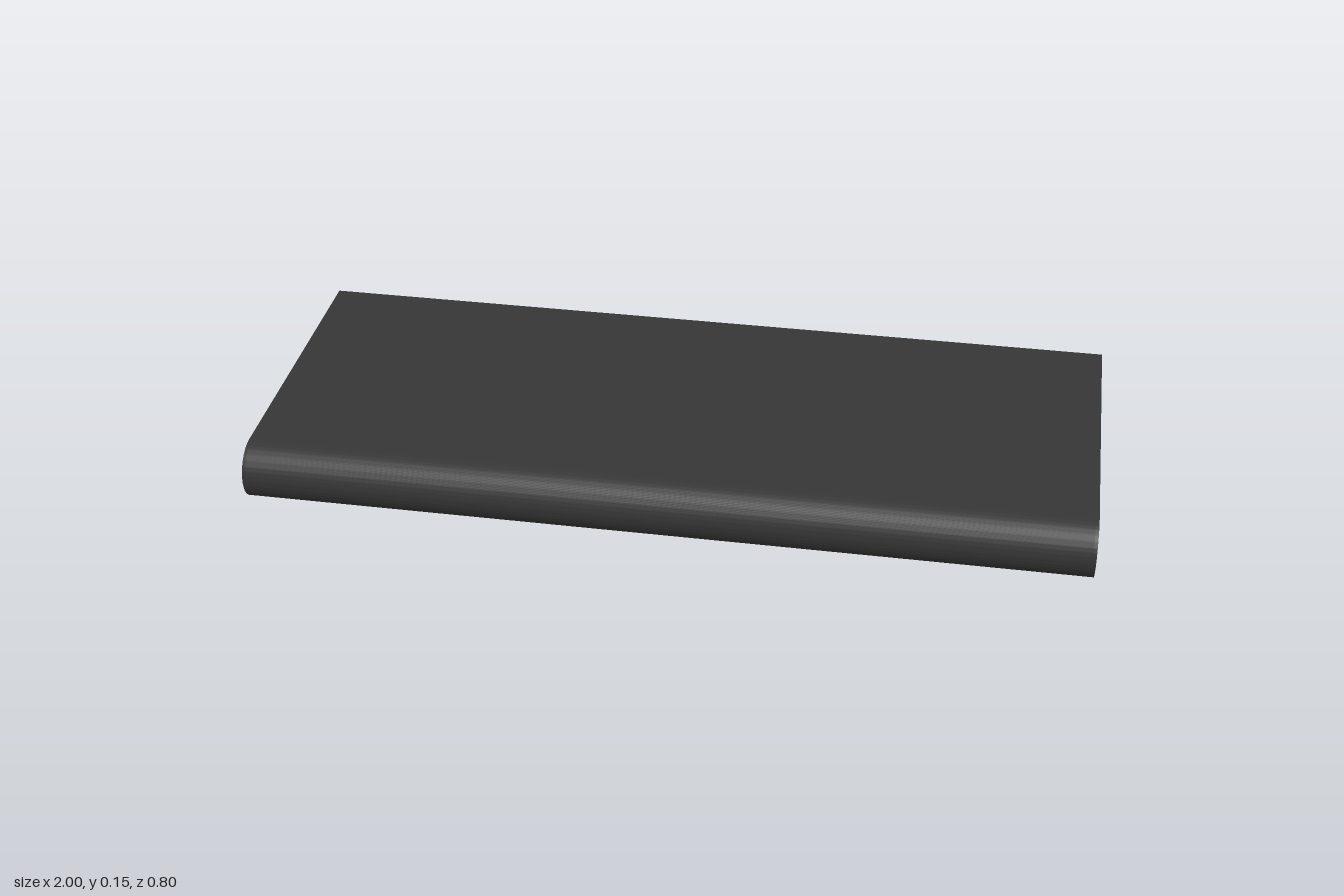
import * as THREE from 'three';
import { toCreasedNormals } from 'three/addons/utils/BufferGeometryUtils.js';

const body = new THREE.MeshStandardMaterial({ color: 0x363636 });
body.name = 'charcoal metal';
const grey = new THREE.MeshStandardMaterial({ color: 0x7c7c7c });
grey.name = 'grey latch';

const H = 0.146, R = H / 2, T = 0.008;        // height, nose radius, sheet thickness
const BACK = -0.4, NOSE = 0.4 - R;            // back edge, centre of the rounded nose
const RX = 0.935, RB = -0.385, RF = 0.256;    // underside recess: half width, back, front
const FLOOR = 0.04;                           // underside of the recessed floor

function add(group, name, geometry, material = body) {
  const mesh = new THREE.Mesh(geometry, material);
  mesh.name = name;
  group.add(mesh);
  return mesh;
}

// box given by its limits
function box(group, name, x0, x1, y0, y1, z0, z1, material) {
  const mesh = add(group, name, new THREE.BoxGeometry(x1 - x0, y1 - y0, z1 - z0), material);
  mesh.position.set((x0 + x1) / 2, (y0 + y1) / 2, (z0 + z1) / 2);
  return mesh;
}

// side profile (z, y) extruded along x
function extrudeX(shape, width) {
  const g = new THREE.ExtrudeGeometry(shape, { depth: width, bevelEnabled: false, curveSegments: 32 });
  g.translate(0, 0, -width / 2).rotateY(-Math.PI / 2);
  return toCreasedNormals(g, 0.5);
}

export function createModel() {
  const model = new THREE.Group();
  model.name = 'hood';

  // top, rounded nose and front lip as one bent sheet
  const sheet = new THREE.Shape();
  sheet.moveTo(RF, 0);
  sheet.lineTo(NOSE, 0);
  sheet.absarc(NOSE, R, R, -Math.PI / 2, Math.PI / 2, false);
  sheet.lineTo(BACK, H);
  sheet.lineTo(BACK, H - T);
  sheet.lineTo(NOSE, H - T);
  sheet.absarc(NOSE, R, R - T, Math.PI / 2, -Math.PI / 2, true);
  sheet.lineTo(RF, T);
  sheet.closePath();
  add(model, 'shell', extrudeX(sheet, 2 - 2 * T));

  // end walls
  const end = new THREE.Shape();
  end.moveTo(BACK, 0);
  end.lineTo(NOSE, 0);
  end.absarc(NOSE, R, R, -Math.PI / 2, Math.PI / 2, false);
  end.lineTo(BACK, H);
  end.closePath();
  for (const s of [-1, 1]) {
    add(model, 'endWall', extrudeX(end, T)).position.x = s * (1 - T / 2);
  }

  // bottom lip and upright walls of the recess
  const inner = 1 - T;
  box(model, 'backLip', -inner, inner, 0, T, BACK, RB);
  box(model, 'recessBackWall', -RX, RX, 0, FLOOR + T, RB - 0.004, RB);
  box(model, 'recessFrontWall', -RX, RX, 0, FLOOR + T, RF, RF + 0.004);
  for (const s of [-1, 1]) {
    const [a, b] = s > 0 ? [RX, inner] : [-inner, -RX];
    box(model, 'sideLip', a, b, 0, T, RB, RF);
    const [c, d] = s > 0 ? [RX, RX + 0.004] : [-RX - 0.004, -RX];
    box(model, 'recessSideWall', c, d, T, FLOOR + T, RB, RF);
  }

  // recessed floor around the filters
  const FX = 0.69, FB = -0.325, pitch = 0.46, gap = 0.004;
  box(model, 'floorBackStrip', -RX, RX, FLOOR, FLOOR + T, RB, FB);
  for (const s of [-1, 1]) {
    const [a, b] = s > 0 ? [FX + gap, RX] : [-RX, -FX - gap];
    box(model, 'floorSidePlate', a, b, FLOOR, FLOOR + T, FB, RF);
  }

  // three filter panels, each with a rounded latch near its back edge
  const slot = new THREE.Shape();
  slot.absarc(0.03, 0, 0.024, -Math.PI / 2, Math.PI / 2, false);
  slot.absarc(-0.03, 0, 0.024, Math.PI / 2, Math.PI * 1.5, false);
  slot.closePath();
  const latch = new THREE.ExtrudeGeometry(slot, { depth: 0.024, bevelEnabled: false, curveSegments: 8 });
  latch.rotateX(-Math.PI / 2);
  for (const i of [-1, 0, 1]) {
    const x = i * pitch, half = pitch / 2 - gap;
    box(model, 'filterPanel', x - half, x + half, FLOOR, FLOOR + 0.016, FB + gap, RF);
    add(model, 'latch', latch, grey).position.set(x, FLOOR - 0.004, -0.294);
  }
  return model;
}
